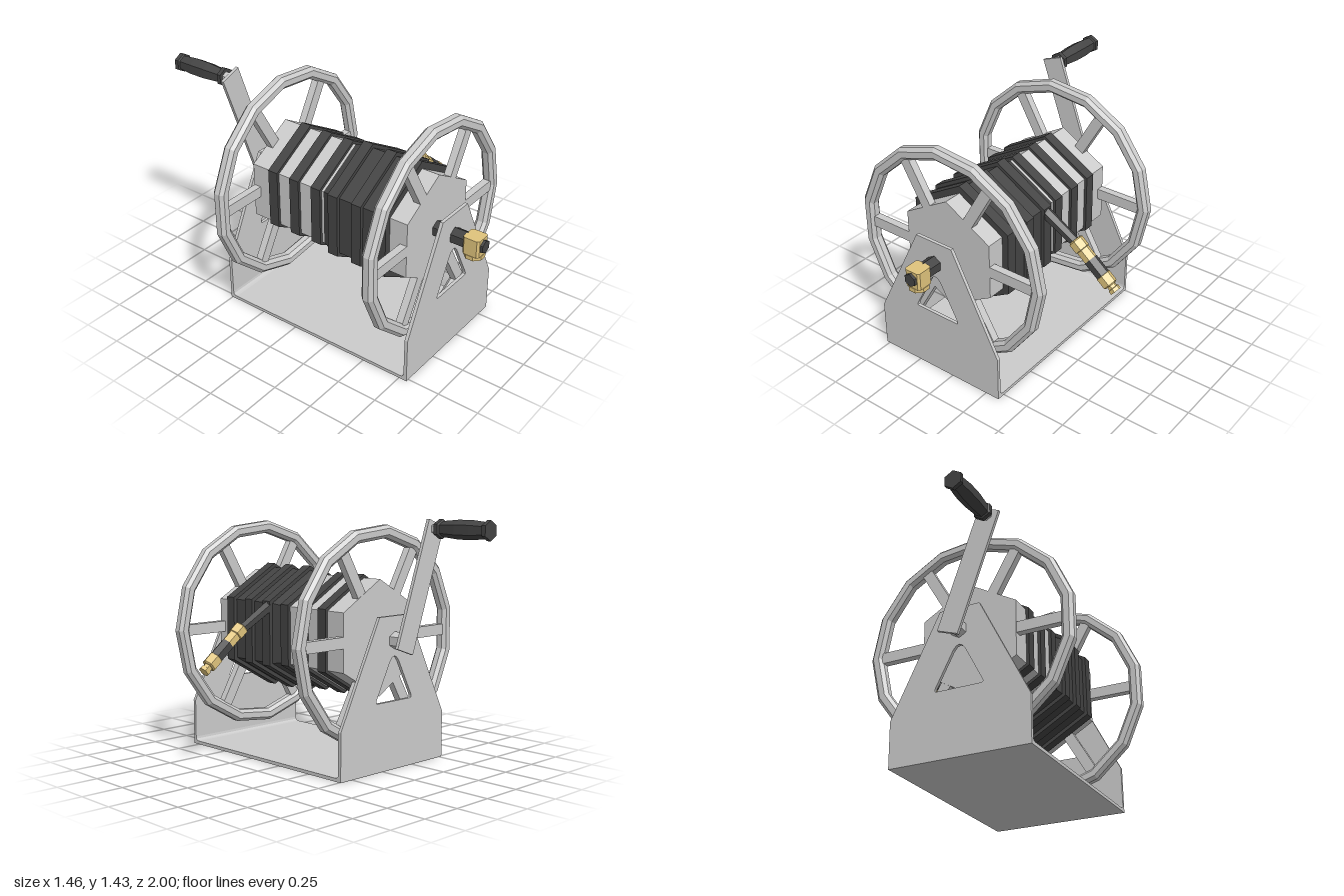
import * as THREE from 'three';

const AX = -0.09, AY = 0.75; // reel axis, parallel to z

const material = (color) => new THREE.MeshStandardMaterial({ color, flatShading: true });

export function createModel() {
  const model = new THREE.Group();
  const steel = material(0xcccccc), rubber = material(0x444444), brass = material(0xe0c47c);

  const add = (name, geometry, mat, parent = model) => {
    const mesh = new THREE.Mesh(geometry, mat);
    mesh.name = name;
    parent.add(mesh);
    return mesh;
  };
  // Turned solid along z from [z, radius] pairs, capped at both ends
  const turned = (profile, sides = 6) => {
    const pts = [[profile[0][0], 0], ...profile, [profile[profile.length - 1][0], 0]];
    return new THREE.LatheGeometry(pts.map(([z, r]) => new THREE.Vector2(r, z)), sides).rotateX(Math.PI / 2);
  };
  const rod = (z0, z1, r, sides = 6) => turned([[z0, r], [z1, r]], sides);

  // Folded base: a U channel with filleted inner corners
  const zb = -0.51, zf = 0.8, t = 0.02, fold = 0.28, f = 0.025;
  const u = new THREE.Shape();
  u.moveTo(zb, 0);
  u.lineTo(zf, 0);
  u.lineTo(zf, fold);
  u.lineTo(zf - t, fold);
  u.lineTo(zf - t, t + f);
  u.quadraticCurveTo(zf - t, t, zf - t - f, t);
  u.lineTo(zb + t + f, t);
  u.quadraticCurveTo(zb + t, t, zb + t, t + f);
  u.lineTo(zb + t, fold);
  u.lineTo(zb, fold);
  u.closePath();
  const channel = new THREE.ExtrudeGeometry(u, { depth: 0.86, bevelEnabled: false, curveSegments: 3 });
  add('baseChannel', channel.rotateY(-Math.PI / 2).translate(0.34, 0, 0), steel);

  // Tapered upper plates with a rounded triangular opening
  const plate = new THREE.Shape([[-0.43, fold], [0.43, fold], [0.125, 0.89], [-0.125, 0.89]]
    .map(([x, y]) => new THREE.Vector2(x, y)));
  const hole = new THREE.Path();
  hole.moveTo(-0.135, 0.4);
  hole.lineTo(0.135, 0.4);
  hole.quadraticCurveTo(0.155, 0.4, 0.146, 0.42);
  hole.lineTo(0.037, 0.63);
  hole.quadraticCurveTo(0, 0.69, -0.037, 0.63);
  hole.lineTo(-0.146, 0.42);
  hole.quadraticCurveTo(-0.155, 0.4, -0.135, 0.4);
  plate.holes.push(hole);
  for (const [name, z] of [['frontPlate', zf - t], ['backPlate', zb]]) {
    const g = new THREE.ExtrudeGeometry(plate, { depth: t, bevelEnabled: false, curveSegments: 4 });
    add(name, g.translate(AX, 0, z), steel);
  }

  // Everything that turns around the reel axis
  const reel = new THREE.Group();
  reel.name = 'reel';
  reel.position.set(AX, AY, 0);
  model.add(reel);

  add('drum', rod(-0.395, 0.685, 0.34), steel, reel);
  add('axle', rod(-0.5, 0.89, 0.05), rubber, reel);
  add('crankShaft', rod(-0.6, -0.5, 0.05), steel, reel);

  // Wound hose: raised turns, thicker layer towards the front
  const coils = [];
  for (const [z, r] of [[-0.235, 0.36], [-0.08, 0.36], [0.075, 0.36], [0.2125, 0.385], [0.3725, 0.385], [0.54, 0.385]]) {
    if (coils.length) coils.push([z - 0.0325, r - 0.025]);
    coils.push([z - 0.0325, r], [z + 0.0325, r]);
    if (z < 0.5) coils.push([z + 0.0325, r - 0.025]);
  }
  add('hoseCoils', turned(coils), rubber, reel);

  // Fifteen-sided rims with bevelled section, each on six spokes
  const h = 0.0375, c = 0.018;
  const section = [[h, -c], [h, c], [c, h], [-c, h], [-h, c], [-h, -c], [-c, -h], [c, -h], [h, -c]]
    .map(([r, z]) => new THREE.Vector2(0.6125 + r, z));
  for (const [name, z] of [['front', 0.6625], ['back', -0.37]]) {
    const wheel = new THREE.Group();
    wheel.name = name + 'Wheel';
    wheel.position.z = z;
    reel.add(wheel);
    add('rim', new THREE.LatheGeometry(section, 15, Math.PI / 2).rotateX(Math.PI / 2), steel, wheel);
    for (let i = 0; i < 6; i++) {
      const g = new THREE.BoxGeometry(0.31, 0.066, 0.045).translate(0.445, 0, 0);
      add('spoke', g.rotateZ(i * Math.PI / 3), steel, wheel);
    }
  }

  // Crank arm and grip
  const crank = new THREE.Group();
  crank.name = 'crank';
  crank.rotation.z = 0.342;
  reel.add(crank);
  add('crankArm', new THREE.BoxGeometry(0.135, 0.76, 0.02).translate(0, 0.32, -0.6), steel, crank);
  const grip = new THREE.Group();
  grip.name = 'handle';
  grip.position.set(-0.222, 0.625, 0);
  reel.add(grip);
  add('handlePin', rod(-0.65, -0.6, 0.036), steel, grip);
  add('handleGrip', turned([[-1, 0.057], [-0.975, 0.057], [-0.97, 0.046], [-0.88, 0.055], [-0.78, 0.055],
    [-0.67, 0.045], [-0.665, 0.057], [-0.64, 0.057]]), rubber, grip);

  // Brass inlet elbow on the front of the axle
  const inlet = new THREE.Group();
  inlet.name = 'inlet';
  inlet.position.set(AX, AY, 0.932);
  model.add(inlet);
  const block = new THREE.Shape();
  const b = 0.04, k = 0.012;
  block.moveTo(-b - k, -b);
  for (const [x, y] of [[-b, -b - k], [b, -b - k], [b + k, -b], [b + k, b], [b, b + k], [-b, b + k], [-b - k, b]]) block.lineTo(x, y);
  block.closePath();
  const body = new THREE.ExtrudeGeometry(block, { depth: 0.105, bevelEnabled: false });
  add('inletBody', body.rotateX(-Math.PI / 2).translate(0, -0.057, 0), brass, inlet);
  add('inletNut', new THREE.CylinderGeometry(0.06, 0.06, 0.025, 8).rotateY(Math.PI / 8).translate(0, -0.0685, 0), brass, inlet);
  add('inletPlug', rod(-0.06, 0.068, 0.04), rubber, inlet);

  // Loose hose end leaving the drum, then its couplings
  const along = (name, x, y, angle) => {
    const g = new THREE.Group();
    g.name = name;
    g.position.set(x, y, 0.21);
    g.rotation.set(0, Math.PI / 2, 0);
    const holder = new THREE.Group();
    holder.rotation.x = -angle; // tilts local +z about the hose's side axis
    g.add(holder);
    model.add(g);
    return holder;
  };
  const lead = along('hoseLead', 0.0, 1.04, -Math.PI / 6);
  add('hose', turned([[0, 0.035], [0.28, 0.035], [0.53, 0.029]]), rubber, lead);
  const end = along('hoseEnd', 0.432, 0.805, -0.685);
  add('couplingNut', turned([[0, 0.036], [0.008, 0.046], [0.066, 0.046], [0.072, 0.036]]), brass, end);
  add('couplingCollar', rod(0.07, 0.145, 0.04), brass, end);
  add('couplingSleeve', rod(0.14, 0.26, 0.042), rubber, end);
  add('nozzleNut', turned([[0.245, 0.036], [0.252, 0.045], [0.315, 0.045], [0.322, 0.034]]), brass, end);
  add('nozzleTip', turned([[0.32, 0.027], [0.34, 0.027], [0.343, 0.034], [0.365, 0.034]]), brass, end);

  return model;
}
